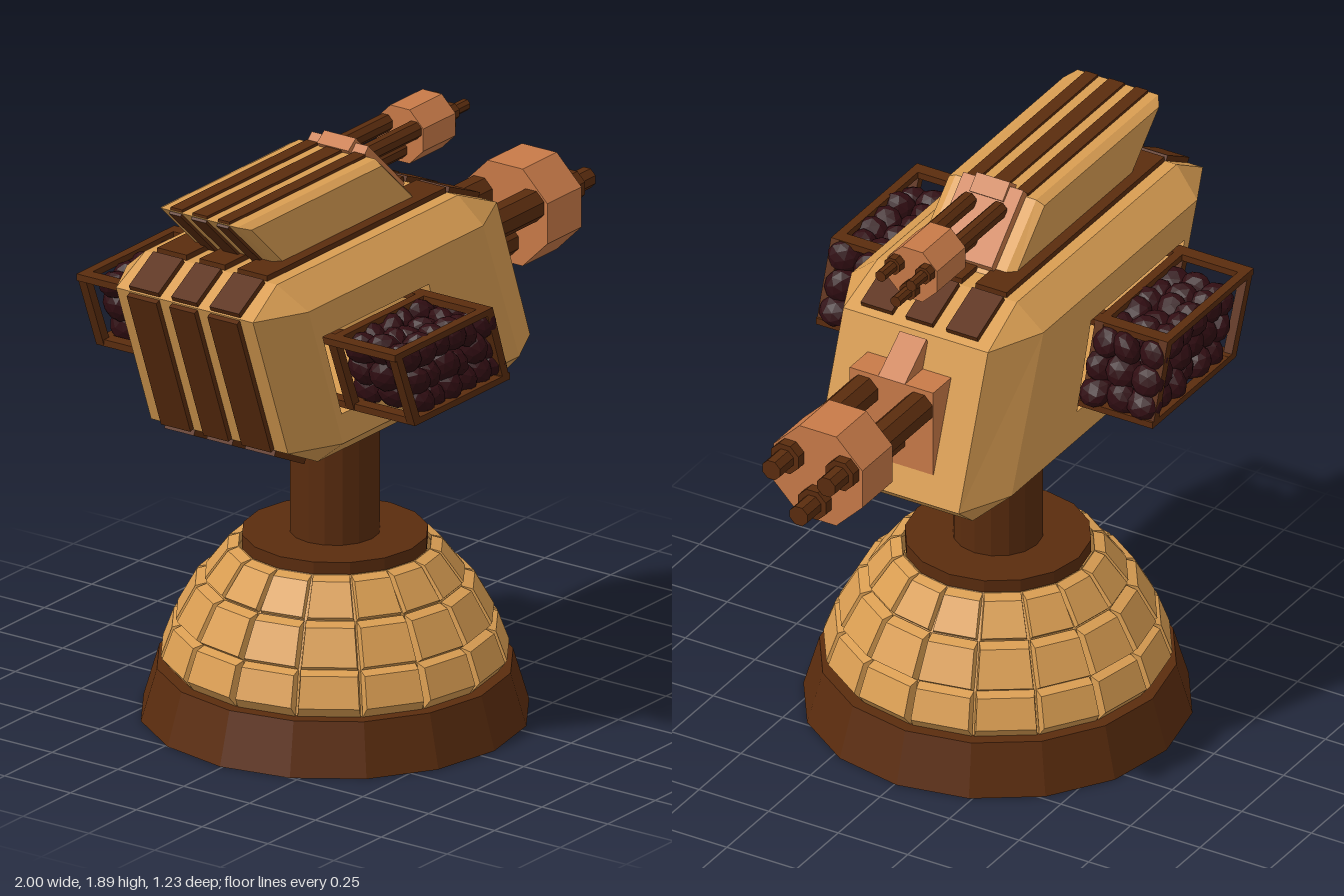
import * as THREE from 'three';

const flat = (name, color) => {
  const m = new THREE.MeshStandardMaterial({ color, flatShading: true });
  m.name = name;
  return m;
};
const tan = flat('tan armour', 0xd99d52);
const brown = flat('dark brown metal', 0x5a2c0e);
const copper = flat('copper', 0xc87a48);
const maroon = flat('dark maroon', 0x300d12);

// Triangles from convex polygons, each turned to face away from (or towards) a centre
function polygons(faces, centre, inward = false) {
  const out = [];
  const c = new THREE.Vector3(...centre);
  for (const face of faces) {
    const p = face.map((v) => new THREE.Vector3(...v));
    const mid = p.reduce((s, v) => s.add(v), new THREE.Vector3()).divideScalar(p.length);
    const n = new THREE.Vector3();
    p.forEach((v, i) => n.add(v.clone().sub(mid).cross(p[(i + 1) % p.length].clone().sub(mid))));
    if ((n.dot(mid.sub(c)) < 0) !== inward) p.reverse();
    for (let i = 1; i < p.length - 1; i++) out.push(...p[0], ...p[i], ...p[i + 1]);
  }
  const g = new THREE.BufferGeometry();
  g.setAttribute('position', new THREE.Float32BufferAttribute(out, 3));
  g.computeVertexNormals();
  return g;
}

// Convex solid through a row of matching loops, capped at both ends
function loft(loops) {
  const all = loops.flat();
  const centre = [0, 1, 2].map((k) => all.reduce((s, v) => s + v[k], 0) / all.length);
  const faces = [loops[0], loops[loops.length - 1]];
  for (let i = 0; i < loops.length - 1; i++) {
    const a = loops[i], b = loops[i + 1];
    a.forEach((v, j) => {
      const k = (j + 1) % a.length;
      faces.push([v, a[k], b[k], b[j]]);
    });
  }
  return polygons(faces, centre);
}

const atZ = (pts, z) => pts.map(([x, y]) => [x, y, z]);
const slab = (pts, zc, half) => loft([atZ(pts, zc - half), atZ(pts, zc + half)]);

export function createModel() {
  const model = new THREE.Group();
  model.name = 'turret';
  model.position.z = -0.008;
  const add = (name, geo, mat, parent = model) => {
    const m = new THREE.Mesh(geo, mat);
    m.name = name;
    parent.add(m);
    return m;
  };
  const group = (name) => {
    const g = new THREE.Group();
    g.name = name;
    model.add(g);
    return g;
  };

  // Pedestal
  const base = group('pedestal');
  base.position.x = -0.192;
  const drum = (name, r0, r1, y0, y1, mat) =>
    add(name, new THREE.CylinderGeometry(r1, r0, y1 - y0, 16).translate(0, (y0 + y1) / 2, 0), mat, base);
  drum('foot', 0.606, 0.556, 0, 0.17, brown);
  drum('collar', 0.29, 0.29, 0.55, 0.595, brown);
  drum('pillar', 0.14, 0.14, 0.58, 1.03, brown);
  const core = [[0.51, 0.165], [0.475, 0.305], [0.395, 0.44], [0.3, 0.56]];
  add('domeCore', new THREE.LatheGeometry(core.map((p) => new THREE.Vector2(...p)), 16), tan, base);

  // Bevelled dome tiles: inner [r0, y0, r1, y1], then outer
  const rows = [
    [[0.515, 0.17, 0.475, 0.31], [0.542, 0.205, 0.507, 0.3]],
    [[0.47, 0.305, 0.4, 0.443], [0.495, 0.325, 0.435, 0.433]],
    [[0.385, 0.435, 0.3, 0.558], [0.405, 0.455, 0.335, 0.548]],
  ];
  for (const row of rows) {
    for (let i = 0; i < 16; i++) {
      const loops = row.map(([r0, y0, r1, y1], k) => {
        const gap = k ? 0.022 : 0.006;
        const a = (i * Math.PI) / 8 + gap, b = ((i + 1) * Math.PI) / 8 - gap;
        return [[r0, y0, a], [r0, y0, b], [r1, y1, b], [r1, y1, a]]
          .map(([r, y, t]) => [r * Math.sin(t), y, r * Math.cos(t)]);
      });
      add('domeTile', loft(loops), tan, base);
    }
  }

  // Slanted body with chamfered edges
  const W = 0.345, w = 0.26, t = 0.25;
  const lo = [[-0.8, w], [-0.63, W], [0.3, W], [0.475, w]];
  const hi = [[-0.985, w], [-0.81, W], [0.11, W], [0.3, w]];
  const faces = [];
  const flip = (f, s) => f.map(([x, y, z]) => [x, y, z * s]);
  for (const s of [1, -1]) {
    const at = ([x, z], y) => [x, y, z * s];
    for (const i of [0, 2]) faces.push([at(lo[i], 1.09), at(lo[i + 1], 1.09), at(hi[i + 1], 1.58), at(hi[i], 1.58)]);
    for (const [ring, y, y2, xa, xb] of [[lo, 1.09, 1.01, -0.63, 0.375], [hi, 1.58, 1.66, -0.845, 0.11]]) {
      const a = [xa, y2, t * s], b = [xb, y2, t * s];
      faces.push([at(ring[1], y), at(ring[2], y), b, a]);
      faces.push([at(ring[0], y), at(ring[1], y), a], [at(ring[2], y), at(ring[3], y), b]);
    }
  }
  // Faces spanning the full width: bottom, front, top and back in turn
  const around = [[-0.63, 1.01, t], [0.375, 1.01, t], [0.475, 1.09, w], [0.3, 1.58, w],
    [0.11, 1.66, t], [-0.845, 1.66, t], [-0.985, 1.58, w], [-0.8, 1.09, w]];
  around.forEach((p, i) => {
    const edge = [p, around[(i + 1) % 8]];
    faces.push([...edge, ...flip(edge, -1).reverse()]);
  });
  const bodyCentre = [-0.26, 1.33, 0];
  add('bodyShell', polygons(faces, bodyCentre), tan);

  // Body sides with a slanted opening running right through
  const hole = [[-0.735, 1.475], [-0.175, 1.475], [-0.09, 1.19], [-0.635, 1.19]];
  const vec = (pts) => pts.map((p) => new THREE.Vector2(...p));
  const side = new THREE.Shape(vec([[-0.63, 1.09], [0.3, 1.09], [0.11, 1.58], [-0.81, 1.58]]));
  side.holes.push(new THREE.Path(vec(hole)));
  const sideGeo = new THREE.ShapeGeometry(side);
  add('leftSide', sideGeo.clone().translate(0, 0, W), tan);
  const back = sideGeo.clone().translate(0, 0, -W);
  const idx = back.index.array;
  for (let i = 0; i < idx.length; i += 3) [idx[i], idx[i + 1]] = [idx[i + 1], idx[i]];
  back.computeVertexNormals();
  add('rightSide', back, tan);
  const walls = hole.map((p, i) => {
    const q = hole[(i + 1) % 4];
    return [[...p, -W], [...q, -W], [...q, W], [...p, W]];
  });
  add('openingWalls', polygons(walls, [-0.41, 1.33, 0], true), tan);

  // Flat strips following a path, one plate per segment
  const strip = (name, path, zc, half, thick) => {
    for (let i = 0; i < path.length - 1; i++) {
      const a = new THREE.Vector2(...path[i]), b = new THREE.Vector2(...path[i + 1]);
      const d = b.clone().sub(a).normalize();
      const n = new THREE.Vector2(d.y, -d.x).multiplyScalar(thick);
      a.addScaledVector(d, 0.006);
      b.addScaledVector(d, -0.006);
      const pts = [a, b, b.clone().add(n), a.clone().add(n)].map((v) => [v.x, v.y]);
      add(name, slab(pts, zc, half), brown);
    }
  };
  const ribPath = [[0.28, 1.588], [0.11, 1.66], [-0.845, 1.66], [-0.985, 1.58], [-0.8, 1.09], [-0.63, 1.01]];
  for (const z of [-0.153, 0, 0.153]) strip('bodyRib', ribPath, z, z ? 0.056 : 0.048, 0.018);

  // Upper housing with bevelled sides and dark strips
  const top = [[-0.91, 1.845], [-0.18, 1.845], [0.02, 1.66], [-0.71, 1.66]];
  const inset = [[-0.87, 1.83], [-0.185, 1.83], [-0.02, 1.675], [-0.705, 1.675]];
  add('upperHousing', loft([atZ(inset, -0.172), atZ(top, -0.145), atZ(top, 0.145), atZ(inset, 0.172)]), tan);
  for (const z of [-0.09, 0, 0.09])
    strip('housingStrip', [top[1], top[0], top[3]], z, z ? 0.022 : 0.028, 0.009);

  // Gun mounting plates
  add('smallGunPlate', slab([[-0.19, 1.85], [-0.165, 1.875], [0.025, 1.695], [0.005, 1.665]], 0, 0.108), copper);
  add('smallGunTab', slab([[-0.205, 1.86], [-0.165, 1.89], [-0.12, 1.845], [-0.16, 1.81]], 0, 0.06), copper);
  add('largeGunMount', slab([[0.445, 1.18], [0.445, 1.475], [0.33, 1.475], [0.42, 1.18]], 0, 0.15), copper);
  add('largeGunTab', slab([[0.445, 1.475], [0.315, 1.57], [0.28, 1.5], [0.34, 1.45]], 0, 0.048), copper);

  // Three-barrelled guns lying along x
  const rod = (name, r, x0, x1, y, z, mat, parent) =>
    add(name, new THREE.CylinderGeometry(r, r, x1 - x0, 8).rotateY(Math.PI / 8)
      .rotateZ(-Math.PI / 2).translate((x0 + x1) / 2, y, z), mat, parent);
  const gun = (name, y, size, [x0, x1, x2, x3, x4]) => {
    const g = group(name);
    rod('barrelClamp', size, x1, x2, y, 0, copper, g);
    for (const [dy, dz] of [[0.28, 0.57], [0.28, -0.57], [-0.5, 0]]) {
      rod('barrel', size * 0.31, x0, x3, y + dy * size, dz * size, brown, g);
      rod('muzzle', size * 0.2, x3, x4, y + dy * size, dz * size, brown, g);
    }
  };
  gun('largeGun', 1.36, 0.173, [0.4, 0.705, 0.885, 0.92, 1.0]);
  gun('smallGun', 1.792, 0.096, [-0.11, 0.15, 0.32, 0.35, 0.42]);

  // Cages on both sides, with slanted end frames
  const frame = [[-0.715, 1.465], [-0.2, 1.465], [-0.11, 1.2], [-0.61, 1.2]];
  const mid = [-0.409, 1.3325];
  const inner = frame.map(([x, y]) => [mid[0] + (x - mid[0]) * 0.87, mid[1] + (y - mid[1]) * 0.84]);
  frame.forEach((p, i) => {
    const j = (i + 1) % 4;
    for (const z of [-0.59, -0.36, 0.36, 0.59])
      add('cageFrame', slab([p, frame[j], inner[j], inner[i]], z, 0.015), brown);
    const ex = p[0] < mid[0] ? 0.045 : -0.045, ey = p[1] > mid[1] ? -0.022 : 0.022;
    const bar = [p, [p[0] + ex, p[1]], [p[0] + ex, p[1] + ey], [p[0], p[1] + ey]];
    add('cageRail', slab(bar, 0, 0.605), brown);
  });

  // Lumpy contents packed in the cages
  let seed = 7;
  const rnd = () => (seed = (seed * 16807) % 2147483647) / 2147483647 - 0.5;
  const lump = new THREE.IcosahedronGeometry(1, 1);
  for (const s of [-1, 1])
    for (let i = 0; i < 6; i++)
      for (let j = 0; j < 3; j++)
        for (let k = 0; k < 3; k++) {
          const m = add('cageLump', lump, maroon);
          m.position.set(-0.56 + i * 0.077 - (j - 1) * 0.03 + rnd() * 0.02,
            1.33 + (j - 1) * 0.079 + rnd() * 0.02, s * (0.38 + k * 0.085 + rnd() * 0.02));
          m.scale.set(0.042, 0.058, 0.058);
          m.rotation.set(rnd() * 1.5, rnd() * 1.5, 0.5 + rnd());
        }
  return model;
}
